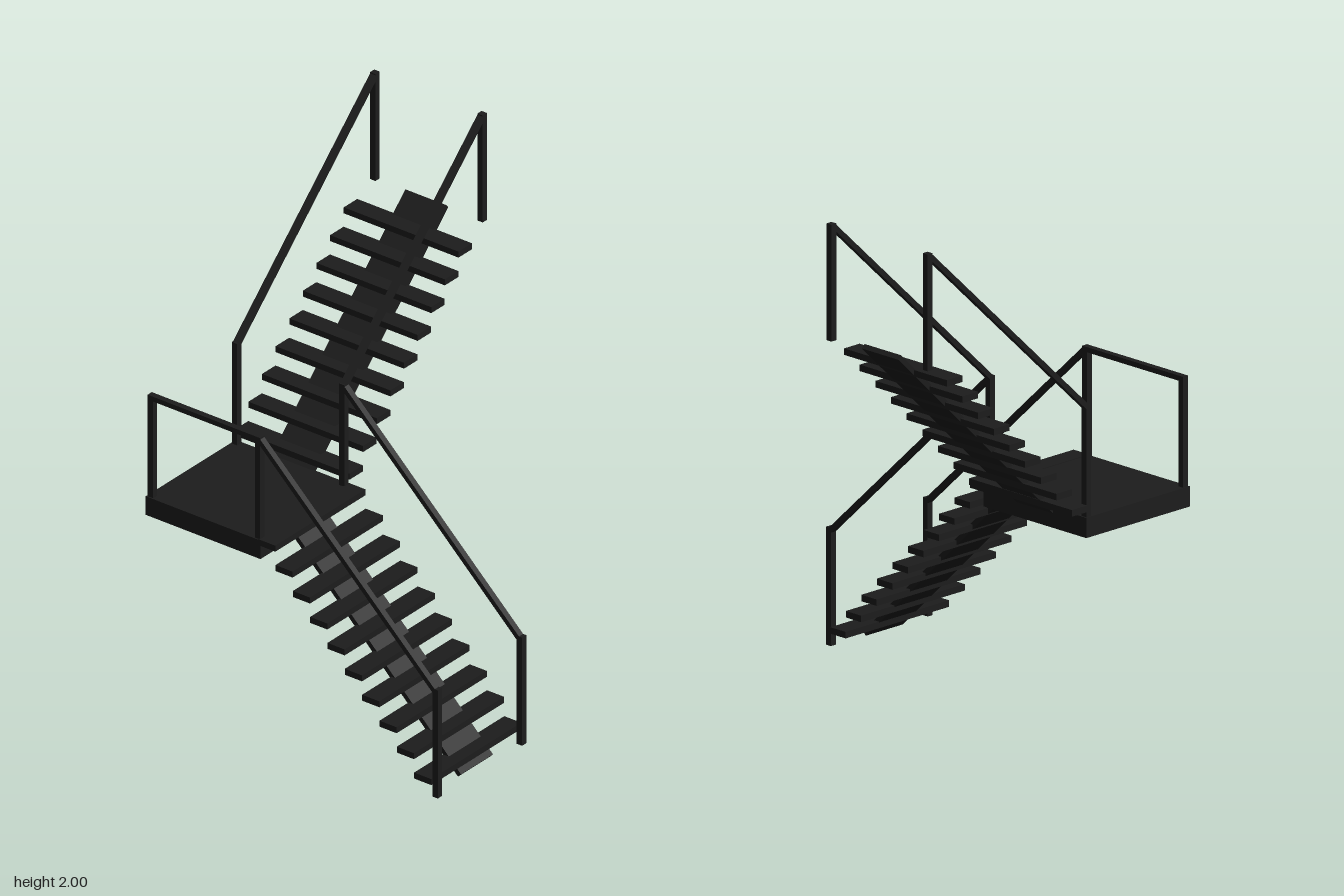
import * as THREE from 'three';

const material = new THREE.MeshStandardMaterial({ color: 0x1c1c1c });
const MID = -0.41;   // centre line of both flights and of the landing
const HALF = 0.25;   // handrail offset from the centre line
const BAR = 0.025;   // post and rail section

function box(name, w, h, d, x, y, z) {
  const mesh = new THREE.Mesh(new THREE.BoxGeometry(w, h, d), material);
  mesh.name = name;
  mesh.position.set(x, y, z);
  return mesh;
}

// Upright square post
function post(x, z, y0, y1) {
  return box('post', BAR, y1 - y0, BAR, x, (y0 + y1) / 2, z);
}

// Sloping bar in the local xy plane, square cut at the ends
function slopedBar(name, x0, y0, x1, y1, thick, width, z) {
  const length = Math.hypot(x1 - x0, y1 - y0);
  const mesh = box(name, length, thick, width, (x0 + x1) / 2, (y0 + y1) / 2, z);
  mesh.rotation.z = Math.atan2(y1 - y0, x1 - x0);
  return mesh;
}

// One straight flight climbing along local +x, centred on local z = 0
function flight(name, treads, firstTread) {
  const group = new THREE.Group();
  group.name = name;
  group.add(slopedBar('stringer', 0, 0, 0.8, 0.775, 0.02, 0.19, 0));
  for (let i = 0; i < treads; i++) {
    group.add(box('tread', 0.08, 0.025, 0.535,
      firstTread + i * 0.0808, 0.05 + i * 0.081, 0));
  }
  for (const side of [-HALF, HALF]) {
    group.add(slopedBar('handrail', -0.015, 0.43, 0.81, 1.208, 0.02, BAR, side));
  }
  return group;
}

export function createModel() {
  const model = new THREE.Group();
  model.name = 'staircase';

  // Landing at the turn
  model.add(box('landing', 0.535, 0.078, 0.535, MID, 0.762, MID));

  // Lower flight climbs towards the back
  const lower = flight('lowerFlight', 10, 0.036);
  lower.rotation.y = Math.PI / 2;
  lower.position.set(MID, 0.012, 0.65);
  model.add(lower);

  // Upper flight climbs towards +x
  const upper = flight('upperFlight', 9, 0.041);
  upper.position.set(-0.15, 0.785, MID);
  model.add(upper);

  // Posts at the free end of each flight and on the landing corners
  for (const side of [MID - HALF, MID + HALF]) {
    model.add(post(side, 0.668, 0, 0.455));
    model.add(post(0.66, side, 1.55, 2));
    for (const z of [MID - HALF, MID + HALF]) model.add(post(side, z, 0.79, 1.228));
  }

  // Level rail on the outer side of the landing
  model.add(box('landingRail', BAR, 0.02, 2 * HALF, MID - HALF, 1.218, MID));

  return model;
}
